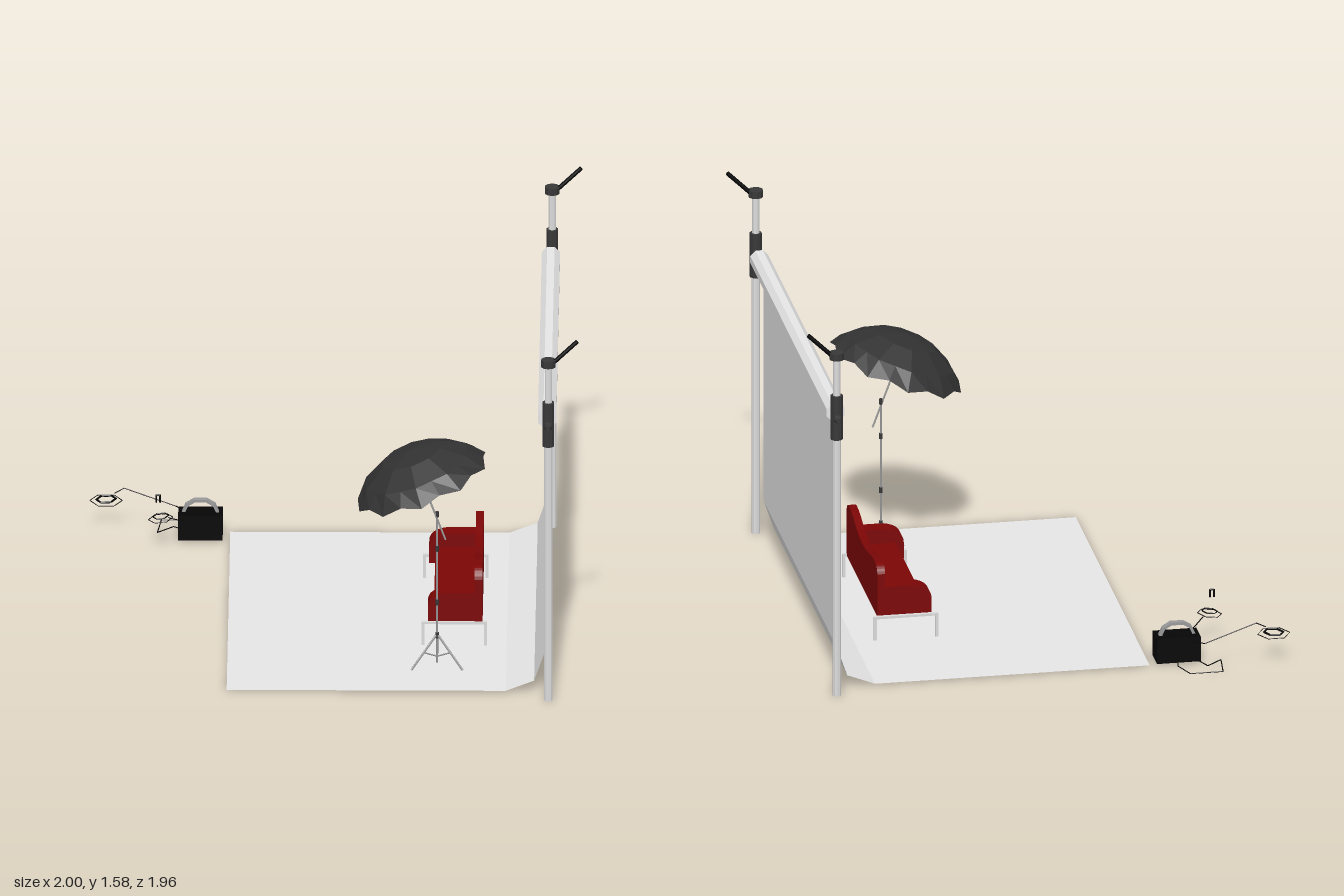
import * as THREE from 'three';

const V = (x, y, z) => new THREE.Vector3(x, y, z);
const mat = (name, color, side = THREE.FrontSide) => {
  const m = new THREE.MeshStandardMaterial({ color, side, flatShading: true });
  m.name = name;
  return m;
};

export function createModel() {
  const root = new THREE.Group();
  root.name = 'photoStudioSet';

  const paper = mat('backdropGrey', 0xe6e6e6, THREE.DoubleSide);
  const metal = mat('poleGrey', 0xdcdcdc);
  const steel = mat('standGrey', 0x9a9a9a);
  const dark = mat('darkGrey', 0x383838);
  const black = mat('black', 0x060606);
  const red = mat('sofaRed', 0x7c0606);
  const cloth = mat('umbrellaCloth', 0x323233);
  const lining = mat('umbrellaLining', 0xc0c0c0, THREE.BackSide);

  const add = (name, geo, material, parent = root) => {
    const m = new THREE.Mesh(geo, material);
    m.name = name;
    parent.add(m);
    return m;
  };
  const group = (name) => {
    const g = new THREE.Group();
    g.name = name;
    root.add(g);
    return g;
  };
  // straight rod between two points
  const rod = (name, a, b, r, material, parent, sides = 8, rTop = r) => {
    const d = b.clone().sub(a);
    const m = add(name, new THREE.CylinderGeometry(rTop, r, d.length(), sides), material, parent);
    m.position.copy(a).add(b).multiplyScalar(0.5);
    m.quaternion.setFromUnitVectors(V(0, 1, 0), d.normalize());
    return m;
  };
  // chain of rods through a list of points
  const wire = (name, pts, r, material, parent) => {
    for (let i = 1; i < pts.length; i++) rod(name, pts[i - 1], pts[i], r, material, parent, 4);
  };
  const box = (name, x0, x1, y0, y1, z0, z1, material, parent) => {
    const m = add(name, new THREE.BoxGeometry(x1 - x0, y1 - y0, z1 - z0), material, parent);
    m.position.set((x0 + x1) / 2, (y0 + y1) / 2, (z0 + z1) / 2);
    return m;
  };

  // paper sweep: floor, cove and wall
  const profile = [[-0.43, 0.005], [0.70, 0.005], [0.815, 0.05], [0.855, 0.168], [0.855, 1.2]];
  const sweep = new THREE.PlaneGeometry(1, 1, profile.length - 1, 1);
  const sp = sweep.attributes.position;
  for (let i = 0; i < sp.count; i++) {
    const [x, y] = profile[i % profile.length];
    sp.setXYZ(i, x, y, i < profile.length ? -0.83 : 0.83);
  }
  const sheet = sweep.toNonIndexed();
  sheet.computeVertexNormals();
  add('backdropSheet', sheet, paper);

  // roll carrying the paper
  const roll = add('backdropRoll', new THREE.CylinderGeometry(0.04, 0.04, 1.72, 8), paper);
  roll.rotation.set(Math.PI / 2, Math.PI / 8, 0);
  roll.position.set(0.868, 1.21, 0);

  // two supports, mirrored front and back
  for (const s of [-1, 1]) {
    const g = group(s > 0 ? 'frontSupport' : 'backSupport');
    const x = 0.873, z = 0.91 * s;
    rod('lowerPole', V(x, 0, z), V(x, 1.13, z), 0.018, metal, g, 10);
    rod('upperPole', V(x, 1.12, z), V(x, 1.47, z), 0.015, metal, g, 10);
    rod('clampSleeve', V(x, 1.115, z), V(x, 1.305, z), 0.025, dark, g, 10);
    rod('topCap', V(x, 1.462, z), V(x, 1.492, z), 0.03, dark, g, 10);
    rod('rollHolder', V(x, 1.21, 0.85 * s), V(x, 1.21, 0.945 * s), 0.014, dark, g);
    rod('holderKnob', V(x, 1.21, 0.935 * s), V(x, 1.21, 0.955 * s), 0.018, dark, g, 8, 0.01);
    wire('holderHook', [V(x, 1.21, 0.95 * s), V(x, 1.2, 0.97 * s), V(x, 1.175, 0.98 * s)],
      0.002, dark, g);
    rod('lockHandle', V(0.893, 1.478, z), V(0.99, 1.572, z), 0.009, black, g);
  }

  // sofa: rounded arms, seat and dipped backrest
  const sofa = group('sofa');
  const slab = (shape, depth) => new THREE.ExtrudeGeometry(shape, { depth, bevelEnabled: false, curveSegments: 6 });
  const armShape = new THREE.Shape();
  armShape.moveTo(0.38, 0.1);
  armShape.lineTo(0.6, 0.1);
  armShape.lineTo(0.6, 0.23);
  armShape.lineTo(0.455, 0.23);
  armShape.quadraticCurveTo(0.38, 0.22, 0.38, 0.17);
  for (const z of [-0.35, 0.275]) add('sofaArm', slab(armShape, 0.07), red, sofa).position.z = z;
  box('sofaBase', 0.405, 0.58, 0.1, 0.15, -0.29, 0.29, red, sofa);
  box('seatCushion', 0.415, 0.575, 0.15, 0.172, -0.278, 0.272, red, sofa);
  const backShape = new THREE.Shape();
  backShape.moveTo(-0.345, 0.1);
  backShape.lineTo(0.35, 0.1);
  backShape.lineTo(0.35, 0.29);
  backShape.quadraticCurveTo(0.34, 0.335, 0.29, 0.335);
  backShape.bezierCurveTo(0.18, 0.335, 0.14, 0.288, 0, 0.288);
  backShape.bezierCurveTo(-0.14, 0.288, -0.18, 0.32, -0.285, 0.32);
  backShape.quadraticCurveTo(-0.335, 0.32, -0.345, 0.285);
  const back = add('sofaBack', slab(backShape, 0.032), red, sofa);
  back.rotation.y = -Math.PI / 2;
  back.position.x = 0.602;
  for (const z of [-0.358, 0.348]) {
    box('legRail', 0.355, 0.62, 0.098, 0.108, z - 0.008, z + 0.008, metal, sofa);
    for (const x of [0.355, 0.608]) {
      box('sofaLeg', x, x + 0.012, 0.006, 0.1, z - 0.007, z + 0.007, metal, sofa);
    }
  }

  // light stand with tripod feet
  const stand = group('umbrellaStand');
  const cx = 0.42, cz = 0.57;
  rod('standPole', V(cx, 0.02, cz), V(cx, 0.67, cz), 0.0042, steel, stand);
  for (const y of [0.14, 0.285, 0.52, 0.67]) {
    rod('standJoint', V(cx, y - 0.012, cz), V(cx, y + 0.012, cz), 0.007, dark, stand);
  }
  for (let i = 0; i < 3; i++) {
    const a = Math.PI + i * Math.PI * 2 / 3;
    const at = (r, y) => V(cx + Math.sin(a) * r, y, cz + Math.cos(a) * r);
    rod('tripodLeg', at(0.005, 0.14), at(0.12, 0.011), 0.005, steel, stand, 6);
    rod('tripodBrace', at(0.005, 0.05), at(0.06, 0.075), 0.003, steel, stand, 6);
  }

  // tilted umbrella: ten flat gores whose rim rises between the ribs
  const umbrella = group('umbrella');
  umbrella.position.set(0.36, 0.813, cz + 0.002);
  umbrella.rotation.z = 0.355;
  const dome = [[0.285, 0], [0.228, 0.07], [0.13, 0.128], [0, 0.152]]
    .map(([r, y]) => new THREE.Vector2(r, y));
  const canopy = new THREE.LatheGeometry(dome, 20);
  const cp = canopy.attributes.position;
  for (let i = 0; i < cp.count; i++) {
    const column = Math.floor(i / dome.length);
    if (column % 2 === 0) continue;
    const lift = i % dome.length === 0 ? 0.02 : 0;
    cp.setXYZ(i, cp.getX(i) * 0.951, cp.getY(i) + lift, cp.getZ(i) * 0.951);
  }
  add('canopy', canopy, cloth, umbrella);
  add('canopyLining', canopy, lining, umbrella).scale.setScalar(0.99);
  rod('umbrellaShaft', V(0, -0.27, 0), V(0, 0.14, 0), 0.004, steel, umbrella);

  // power pack with carrying handle
  const pack = group('powerPack');
  box('packBody', -0.64, -0.46, 0.008, 0.115, -0.83, -0.73, black, pack);
  const handle = [[-0.62, 0.112], [-0.605, 0.145], [-0.575, 0.163],
    [-0.525, 0.163], [-0.495, 0.145], [-0.48, 0.112]];
  for (let i = 1; i < handle.length; i++) {
    const [ax, ay] = handle[i - 1], [bx, by] = handle[i];
    const m = add('packHandle', new THREE.BoxGeometry(Math.hypot(bx - ax, by - ay) + 0.004, 0.012, 0.024),
      steel, pack);
    m.position.set((ax + bx) / 2, (ay + by) / 2, -0.782);
    m.rotation.z = Math.atan2(by - ay, bx - ax);
  }

  // two ring heads on cables, plus a loose cable on the floor
  const heads = group('cablesAndHeads');
  const hexRing = (x, y, z, r, t, tilt) => {
    const m = add('headRing', new THREE.TorusGeometry(r, t, 4, 6), black, heads);
    m.rotation.set(Math.PI / 2, tilt, 0);
    m.position.set(x, y, z);
  };
  hexRing(-0.933, 0.124, -0.87, 0.066, 0.002, 0);
  hexRing(-0.933, 0.13, -0.87, 0.04, 0.005, 0.06);
  hexRing(-0.71, 0.14, -0.645, 0.05, 0.002, 0.12);
  hexRing(-0.71, 0.15, -0.645, 0.032, 0.003, 0.12);
  wire('cable', [V(-0.9, 0.155, -0.87), V(-0.86, 0.176, -0.875), V(-0.65, 0.1, -0.87),
    V(-0.6, 0.09, -0.82)], 0.0022, black, heads);
  wire('cable', [V(-0.68, 0.135, -0.665), V(-0.64, 0.11, -0.7), V(-0.6, 0.095, -0.735)],
    0.0022, black, heads);
  wire('headHook', [V(-0.728, 0.21, -0.645), V(-0.728, 0.243, -0.645), V(-0.712, 0.243, -0.645),
    V(-0.712, 0.21, -0.645)], 0.004, black, heads);
  wire('floorCable', [V(-0.61, 0.02, -0.81), V(-0.66, 0.006, -0.88), V(-0.725, 0.005, -0.82),
    V(-0.71, 0.005, -0.95), V(-0.575, 0.005, -0.95), V(-0.54, 0.006, -0.86), V(-0.55, 0.03, -0.82)],
    0.0022, black, heads);

  return root;
}
